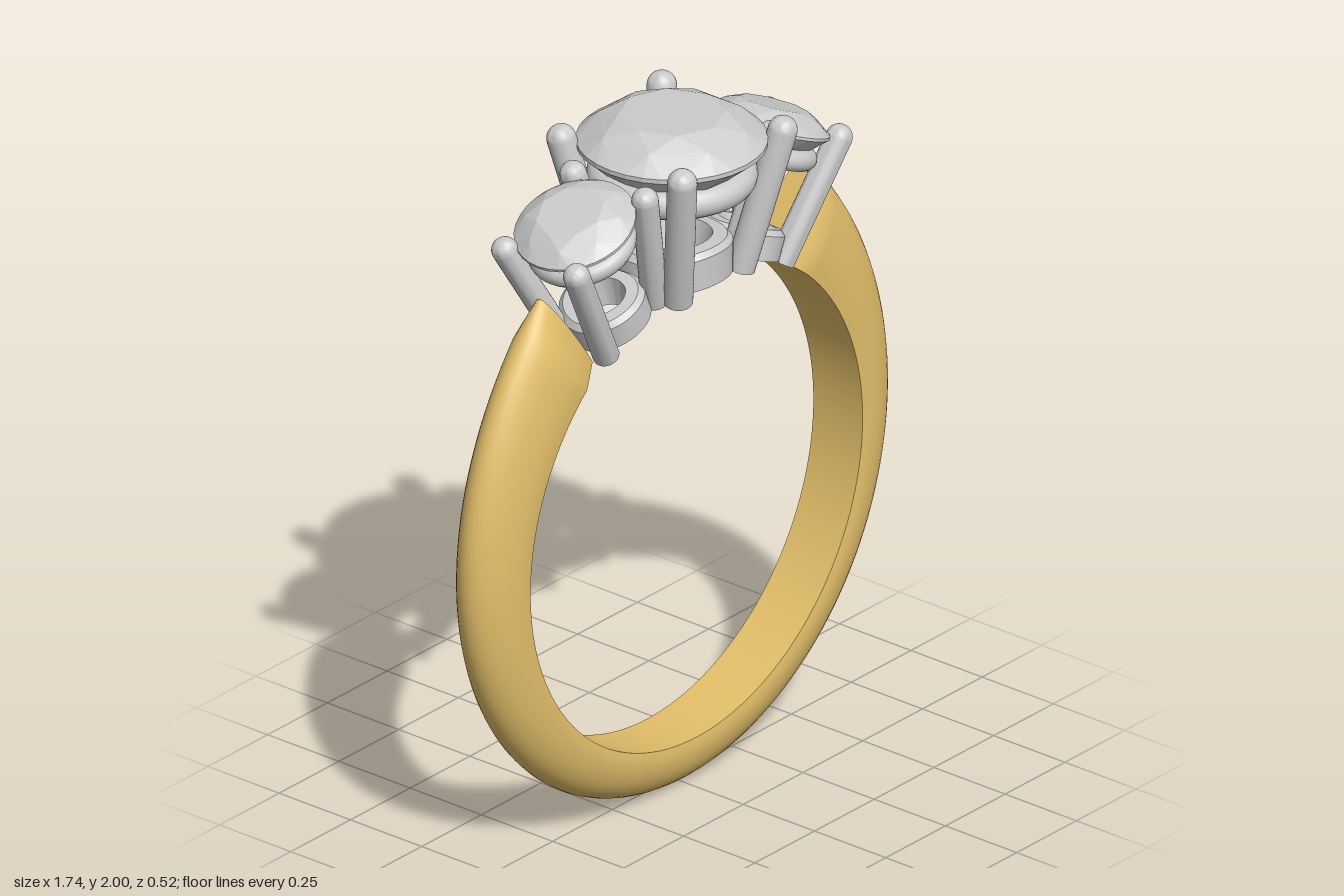
import * as THREE from 'three';
import { toCreasedNormals } from 'three/addons/utils/BufferGeometryUtils.js';
import { ConvexGeometry } from 'three/addons/geometries/ConvexGeometry.js';

const CENTER_Y = 0.845; // centre of the finger hole
const INNER = 0.695;    // radius of the finger hole
const RAD = Math.PI / 180;

const gold = new THREE.MeshStandardMaterial({ color: 0xe3bf6a });
const metal = new THREE.MeshStandardMaterial({ color: 0xcccccc });
const stone = new THREE.MeshStandardMaterial({ color: 0xcccccc, flatShading: true });

function mesh(name, geometry, material) {
  const m = new THREE.Mesh(geometry, material);
  m.name = name;
  return m;
}

// Open band: a D-shaped section swept round the finger, thicker towards the heads
function bandGeometry() {
  const steps = 128, arc = 20, half = 145.5;
  const pos = [], index = [];
  const n = arc + 3;
  for (let i = 0; i <= steps; i++) {
    const fromBottom = -half + (2 * half * i) / steps;
    const a = (fromBottom - 90) * RAD;
    const t = Math.abs(fromBottom) / half;
    const outer = 0.845 + 0.133 * Math.pow(t, 3.7);
    const pinch = THREE.MathUtils.clamp((Math.abs(fromBottom) - 139) / 6.5, 0, 1);
    const w = 0.09 * (1 - 0.4 * pinch);
    const shoulder = INNER + (outer - INNER) * 0.15;
    const section = [[-w * 0.96, INNER], [w * 0.96, INNER]];
    for (let k = 0; k <= arc; k++) {
      const b = (Math.PI * k) / arc;
      section.push([w * Math.cos(b), shoulder + (outer - shoulder) * Math.sin(b)]);
    }
    for (const [z, r] of section) pos.push(r * Math.cos(a), r * Math.sin(a), z);
  }
  for (let i = 0; i < steps; i++) {
    for (let j = 0; j < n; j++) {
      const p = i * n + j, q = i * n + ((j + 1) % n);
      index.push(p, q, p + n, q, q + n, p + n);
    }
  }
  const last = steps * n;
  for (let j = 1; j < n - 1; j++) {
    index.push(0, j + 1, j, last, last + j, last + j + 1);
  }
  const g = new THREE.BufferGeometry();
  g.setAttribute('position', new THREE.Float32BufferAttribute(pos, 3));
  g.setIndex(index);
  return toCreasedNormals(g, 0.6);
}

// Round brilliant cut: table, crown, thin girdle and pointed pavilion
function gemGeometry(R) {
  const pts = [new THREE.Vector3(0, -0.86 * R, 0)];
  const ring = (count, r, y, turn) => {
    for (let i = 0; i < count; i++) {
      const a = ((i + turn) / count) * Math.PI * 2;
      pts.push(new THREE.Vector3(r * R * Math.cos(a), y * R, r * R * Math.sin(a)));
    }
  };
  ring(8, 0.56, 0.31, 0);
  ring(8, 0.8, 0.2, 0.5);
  ring(32, 1, 0.02, 0);
  ring(32, 1, -0.03, 0);
  ring(8, 0.75, -0.26, 0.5);
  return new ConvexGeometry(pts);
}

// Straight claw with a rounded tip
function prong(from, to, r) {
  const a = new THREE.Vector3(...from), b = new THREE.Vector3(...to);
  const len = a.distanceTo(b);
  const profile = [new THREE.Vector2(0, 0), new THREE.Vector2(r, 0)];
  for (let i = 0; i <= 8; i++) {
    const t = (i / 8) * Math.PI / 2;
    profile.push(new THREE.Vector2(i === 8 ? 0 : r * Math.cos(t), len + r * Math.sin(t)));
  }
  const m = mesh('prong', toCreasedNormals(new THREE.LatheGeometry(profile, 24), 0.7), metal);
  m.position.copy(a);
  m.quaternion.setFromUnitVectors(new THREE.Vector3(0, 1, 0), b.sub(a).normalize());
  return m;
}

// Base collar with a flared hole, bent to follow the finger
function collarGeometry(outer, holeLow, holeTop, height) {
  const profile = [
    [holeLow, 0], [outer, 0], [outer, height - 0.015],
    [outer - 0.015, height], [holeTop, height], [holeLow, 0],
  ].map(([x, y]) => new THREE.Vector2(x, y));
  const g = new THREE.LatheGeometry(profile, 48);
  const p = g.attributes.position;
  for (let i = 0; i < p.count; i++) {
    const x = p.getX(i);
    p.setY(i, p.getY(i) + Math.sqrt(INNER * INNER - x * x));
  }
  return toCreasedNormals(g, 0.6);
}

// One setting; heights are measured from the centre of the finger hole
function makeHead(name, s) {
  const head = new THREE.Group();
  head.name = name;
  const gem = mesh('gem', gemGeometry(s.gemR), stone);
  gem.position.y = s.gemY;
  const rail = mesh('galleryRail', new THREE.TorusGeometry(s.railR, s.railTube, 16, 64), metal);
  rail.rotation.x = Math.PI / 2;
  rail.position.y = s.railY;
  head.add(gem, rail, mesh('baseCollar', collarGeometry(...s.collar), metal));
  for (const sx of [-1, 1]) {
    for (const sz of [-1, 1]) {
      const [bx, by, bz] = s.base, [tx, ty, tz] = s.tip;
      head.add(prong([bx * sx, by, bz * sz], [tx * sx, ty, tz * sz], s.prongR));
    }
  }
  return head;
}

export function createModel() {
  const model = new THREE.Group();
  model.name = 'threeStoneRing';
  const ring = new THREE.Group();
  ring.name = 'ring';
  ring.position.y = CENTER_Y;
  model.add(ring);

  ring.add(mesh('band', bandGeometry(), gold));

  ring.add(makeHead('centerHead', {
    gemR: 0.26, gemY: 1.075, railR: 0.19, railTube: 0.042, railY: 0.972,
    collar: [0.165, 0.08, 0.11, 0.105],
    base: [0.13, 0.68, 0.13], tip: [0.21, 1.09, 0.212], prongR: 0.041,
  }));

  // Smaller heads lean outwards along the finger's radius
  for (const side of [-1, 1]) {
    const head = makeHead(side > 0 ? 'leftHead' : 'rightHead', {
      gemR: 0.17, gemY: 1.052, railR: 0.122, railTube: 0.03, railY: 0.98,
      collar: [0.12, 0.05, 0.07, 0.085],
      base: [0.11, 0.685, 0.075], tip: [0.155, 1.053, 0.126], prongR: 0.037,
    });
    head.rotation.z = -side * 22.7 * RAD;
    ring.add(head);
  }
  return model;
}
